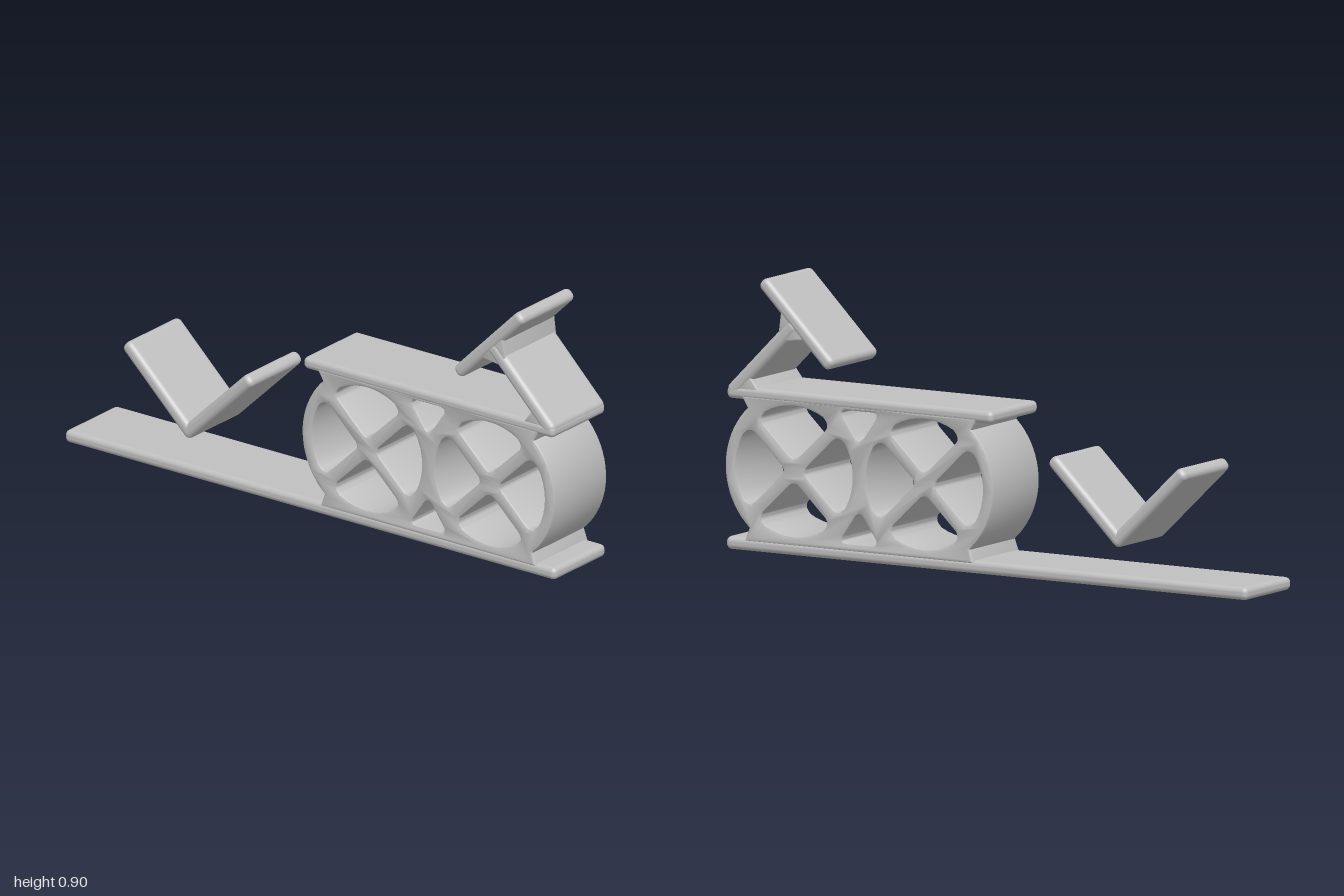
import * as THREE from 'three';
import { RoundedBoxGeometry } from 'three/addons/geometries/RoundedBoxGeometry.js';
import { toCreasedNormals } from 'three/addons/utils/BufferGeometryUtils.js';

const DEPTH = 0.288;
const grey = new THREE.MeshStandardMaterial({ color: 0xbfbfbf });
grey.name = 'grey';

// Flat slab running from a to b in the xy plane, rounded on every edge
function slab(name, a, b, thick, depth = DEPTH) {
  const dx = b[0] - a[0], dy = b[1] - a[1];
  const geo = new RoundedBoxGeometry(Math.hypot(dx, dy), thick, depth, 3, thick * 0.42);
  const mesh = new THREE.Mesh(geo, grey);
  mesh.name = name;
  mesh.position.set((a[0] + b[0]) / 2, (a[1] + b[1]) / 2, 0);
  mesh.rotation.z = Math.atan2(dy, dx);
  return mesh;
}

// Shape extruded along z with softened edges, centred on z = 0
function prism(name, shape, depth = DEPTH, bevel = 0.012) {
  let geo = new THREE.ExtrudeGeometry(shape, {
    depth: depth - 2 * bevel, bevelEnabled: true, bevelThickness: bevel,
    bevelSize: bevel, bevelOffset: -bevel, bevelSegments: 2, curveSegments: 6,
  });
  geo.translate(0, 0, -depth / 2 + bevel);
  geo = toCreasedNormals(geo, 0.75);
  const mesh = new THREE.Mesh(geo, grey);
  mesh.name = name;
  return mesh;
}

// Closed path whose listed corners are rounded by r; other points stay as they are
function roundedPath(points, corners, r) {
  const path = new THREE.Path();
  const n = points.length;
  points.forEach((p, i) => {
    if (!corners.includes(i)) {
      if (i === 0) path.moveTo(p.x, p.y); else path.lineTo(p.x, p.y);
      return;
    }
    const toward = (q) => p.clone().add(q.clone().sub(p).setLength(r));
    const s = toward(points[(i + n - 1) % n]), e = toward(points[(i + 1) % n]);
    if (i === 0) path.moveTo(s.x, s.y); else path.lineTo(s.x, s.y);
    path.quadraticCurveTo(p.x, p.y, e.x, e.y);
  });
  path.closePath();
  return path;
}

const v = (x, y) => new THREE.Vector2(x, y);
const polygon = (pts) => new THREE.Shape(pts.map(([x, y]) => v(x, y)));

// Opening between two diagonal spokes of a wheel
function spokeOpening(cx, cy, mid) {
  const rx = 0.222, ry = 0.213, pts = [];
  const half = 0.024, spread = Math.PI / 4 - half / 0.217;
  pts.push(v(cx + Math.cos(mid) * half * 1.414, cy + Math.sin(mid) * half * 1.414));
  const trim = 0.16;
  const at = (a, k = 1) => v(cx + Math.cos(mid + a) * rx * k, cy + Math.sin(mid + a) * ry * k);
  pts.push(at(-spread, 0.96));
  for (let i = 0; i <= 8; i++) pts.push(at((spread - trim) * (i / 4 - 1)));
  pts.push(at(spread, 0.96));
  // the outer corners are softened by the trimmed arc and a small radius
  return roundedPath(pts, [0, 1, pts.length - 1], 0.026);
}

// Two spoked wheels joined into one frame
function wheelFrame() {
  const cy = 0.28, cxs = [0.235, 0.735], R = 0.265;
  const outline = [];
  const arc = (cx, from, to) => {
    for (let i = 0; i <= 20; i++) {
      const a = THREE.MathUtils.degToRad(from + (to - from) * i / 20);
      outline.push(v(cx + R * Math.cos(a), cy + R * Math.sin(a)));
    }
  };
  outline.push(v(0.03, 0.515));
  arc(cxs[0], 133, 229);
  outline.push(v(0.045, 0.035), v(0.925, 0.035));
  arc(cxs[1], -49, 47);
  outline.push(v(0.94, 0.515));
  const shape = new THREE.Shape(outline);
  for (const cx of cxs) {
    for (let k = 0; k < 4; k++) shape.holes.push(spokeOpening(cx, cy, k * Math.PI / 2));
  }
  // small triangular gaps above and below the place where the wheels meet
  for (const s of [1, -1]) {
    const tri = [v(0.41, cy + s * 0.218), v(0.56, cy + s * 0.218), v(0.485, cy + s * 0.11)];
    shape.holes.push(roundedPath(tri, [0, 1, 2], 0.03));
  }
  return prism('wheelFrame', shape);
}

export function createModel() {
  const model = new THREE.Group();
  model.name = 'spokedFrameOnBase';

  // Long base and the shorter deck above the wheels
  model.add(slab('base', [-1, 0.0235], [1, 0.0235], 0.043, 0.28));
  model.add(slab('deck', [-0.025, 0.52], [0.995, 0.52], 0.042));
  model.add(wheelFrame());

  // Slanted T-shaped handle at the deck's end
  const handle = new THREE.Group();
  handle.name = 'handle';
  handle.add(slab('handleBar', [0.597, 0.632], [0.862, 0.895], 0.045));
  handle.add(slab('handleStem', [0.735, 0.765], [0.985, 0.515], 0.048));
  handle.add(prism('handleGusset', polygon([[0.685, 0.715], [0.8, 0.7], [0.785, 0.815]]), 0.28, 0.006));
  handle.add(prism('stemFoot', polygon([[0.87, 0.53], [0.985, 0.53], [0.925, 0.6]]), 0.28, 0.006));
  model.add(handle);

  // Free-standing V above the base
  const vee = new THREE.Group();
  vee.name = 'vee';
  for (const s of [-1, 1]) {
    vee.add(slab(s < 0 ? 'veeRightArm' : 'veeLeftArm',
      [-0.5 - s * 0.016, 0.144], [-0.5 + s * 0.255, 0.405], 0.046, 0.282));
  }
  model.add(vee);
  return model;
}
